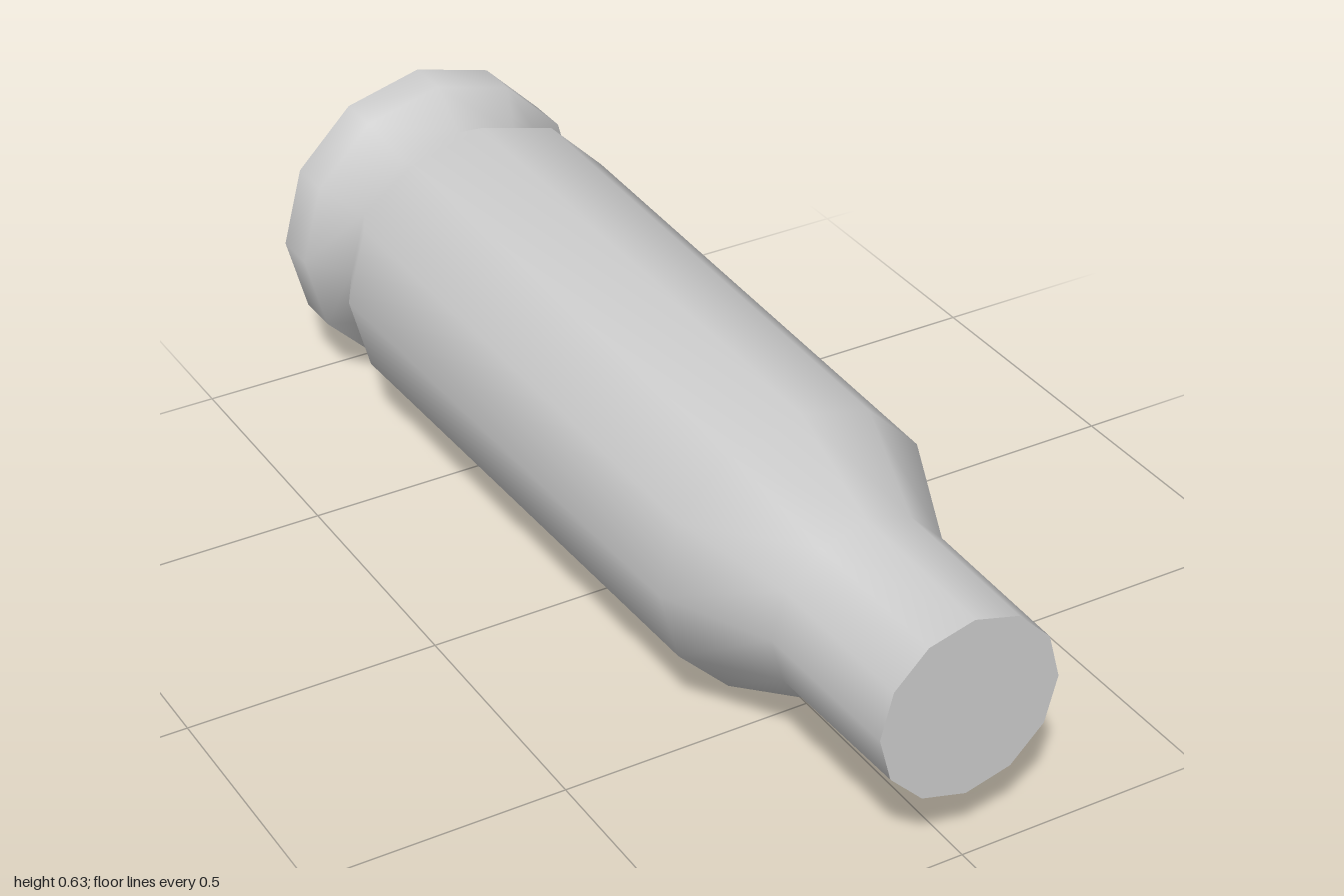
import * as THREE from 'three';

const SIDES = 12;

export function createModel() {
  const model = new THREE.Group();
  model.name = 'cartridgeCase';

  const metal = new THREE.MeshStandardMaterial({ color: 0xcccccc });
  metal.name = 'plain grey metal';

  // Profile as [radius, z], from the base to the mouth
  const profile = [
    [0.314, -1], [0.314, -0.91],   // rim
    [0.25, -0.825],                // extractor groove
    [0.308, -0.72], [0.285, 0.46], // tapered body
    [0.186, 0.67], [0.18, 1],      // shoulder and neck
  ];

  const add = (name, geometry, z = 0) => {
    const mesh = new THREE.Mesh(geometry, metal);
    mesh.name = name;
    mesh.position.set(0, 0.315, z);
    model.add(mesh);
    return mesh;
  };

  // Turned wall, laid along z
  const wall = new THREE.LatheGeometry(profile.map(([r, z]) => new THREE.Vector2(r, z)), SIDES);
  wall.rotateX(Math.PI / 2);
  add('caseWall', wall);

  // Flat ends
  add('mouthCap', new THREE.CircleGeometry(0.18, SIDES), 1);
  add('baseCap', new THREE.CircleGeometry(0.314, SIDES), -1).rotation.y = Math.PI;

  return model;
}
